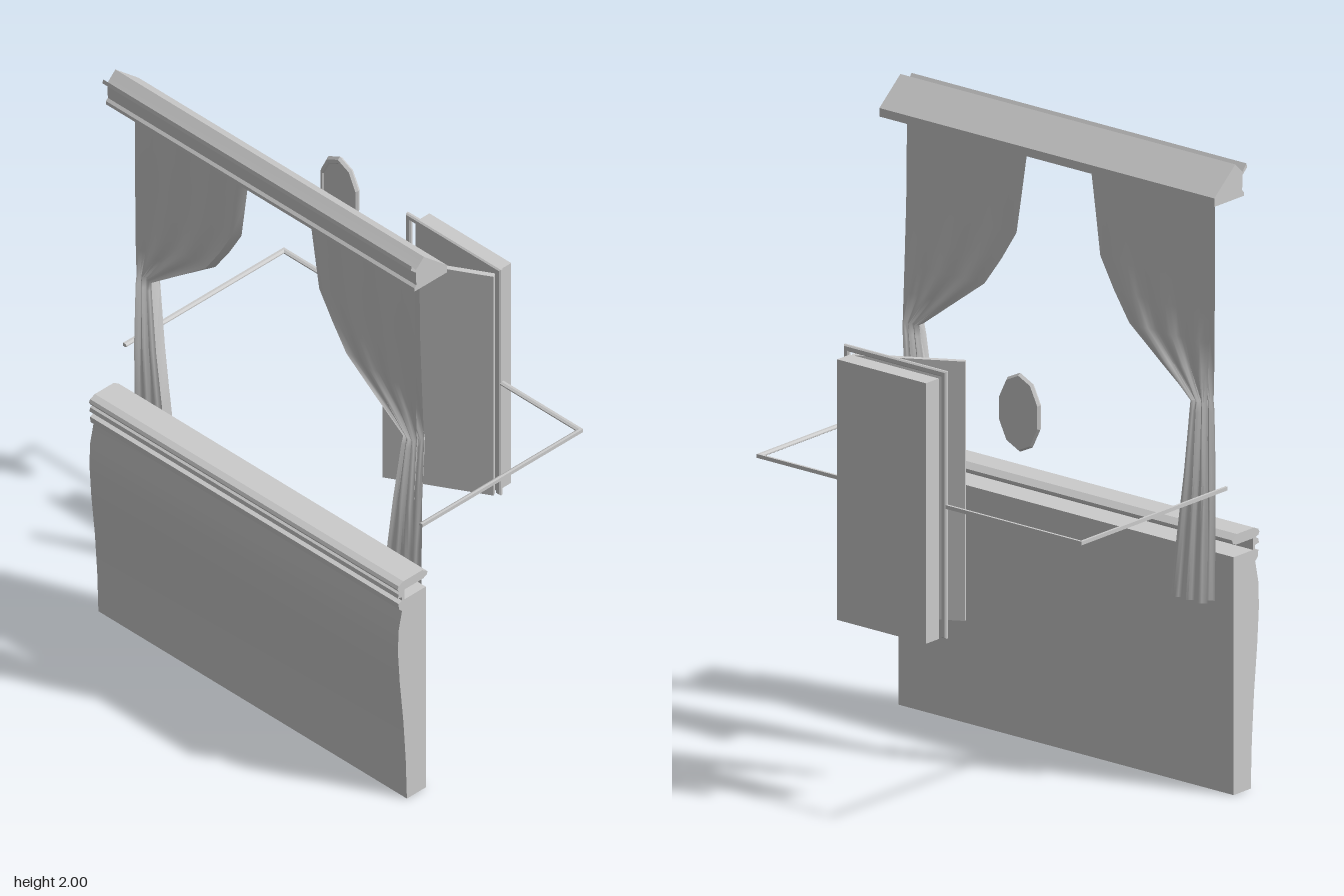
import * as THREE from 'three';
import { toCreasedNormals } from 'three/addons/utils/BufferGeometryUtils.js';

const plaster = new THREE.MeshStandardMaterial({ color: 0xcccccc, side: THREE.DoubleSide });
plaster.name = 'light grey';

function add(parent, name, geometry) {
  const mesh = new THREE.Mesh(geometry, plaster);
  mesh.name = name;
  parent.add(mesh);
  return mesh;
}

// Box given by its limits
function box(x0, x1, y0, y1, z0, z1) {
  return new THREE.BoxGeometry(x1 - x0, y1 - y0, z1 - z0)
    .translate((x0 + x1) / 2, (y0 + y1) / 2, (z0 + z1) / 2);
}

// Moulding: a [z, y] outline drawn out along x
function moulding(outline, halfWidth) {
  const shape = new THREE.Shape(outline.map(([z, y]) => new THREE.Vector2(z, y)));
  const g = new THREE.ExtrudeGeometry(shape, { depth: halfWidth * 2, bevelEnabled: false });
  g.translate(0, 0, -halfWidth).rotateY(-Math.PI / 2);
  return toCreasedNormals(g, 0.4);
}

// Curtain sections from top to bottom: y, outer x, inner x, back z, front z
const curtainRows = [
  [1.885, 0.6, 0.125, 0.27, 0.295],
  [1.75, 0.6, 0.145, 0.268, 0.295],
  [1.615, 0.6, 0.165, 0.265, 0.295],
  [1.52, 0.6, 0.222, 0.26, 0.293],
  [1.43, 0.6, 0.285, 0.255, 0.293],
  [1.34, 0.6, 0.405, 0.25, 0.291],
  [1.245, 0.6, 0.535, 0.245, 0.288],
  [1.21, 0.6, 0.53, 0.245, 0.292],
  [1.0, 0.598, 0.502, 0.25, 0.3],
  [0.82, 0.597, 0.477, 0.25, 0.3],
  [0.605, 0.595, 0.45, 0.25, 0.3],
];

// Gathered cloth: a flat closed loop with pleats at each section
function curtainGeometry() {
  const n = 40, rows = curtainRows.length;
  const g = new THREE.PlaneGeometry(1, 1, n, rows - 1);
  const p = g.attributes.position;
  for (let r = 0; r < rows; r++) {
    const [y, outer, inner, back, front] = curtainRows[r];
    for (let i = 0; i <= n; i++) {
      const t = i / n;
      const isFront = t < 0.5;
      const s = isFront ? t * 2 : 2 - t * 2;
      const depth = front - back;
      const pleat = (0.5 - 0.5 * Math.cos(s * Math.PI * 6)) * depth * 0.3;
      const z = isFront ? front - pleat : back + depth * 0.3 - pleat;
      p.setXYZ(r * (n + 1) + i, outer + (inner - outer) * s, y, z);
    }
  }
  return toCreasedNormals(g, 1.0);
}

// Rail strip with a chamfered room side, running along x from 0 to length
function railGeometry(length) {
  const shape = new THREE.Shape([[0, -0.006], [0.008, -0.006], [0.015, -0.002],
    [0.015, 0.002], [0.008, 0.006], [0, 0.006]].map(([a, b]) => new THREE.Vector2(a, b)));
  return new THREE.ExtrudeGeometry(shape, { depth: length, bevelEnabled: false })
    .translate(0, 0, -length).rotateY(-Math.PI / 2);
}

export function createModel() {
  const model = new THREE.Group();
  model.name = 'curtained stall';

  // Front counter
  add(model, 'counterPanel', moulding([[0.31, 0], [0.39, 0], [0.395, 0.15], [0.405, 0.3],
    [0.42, 0.45], [0.428, 0.57], [0.425, 0.65], [0.41, 0.72], [0.408, 0.755], [0.31, 0.755]], 0.66));
  add(model, 'counterLedge', moulding([[0.305, 0.8], [0.303, 0.81], [0.325, 0.825], [0.405, 0.825],
    [0.425, 0.816], [0.43, 0.806], [0.425, 0.797], [0.412, 0.793], [0.425, 0.785], [0.428, 0.772],
    [0.41, 0.768], [0.41, 0.755], [0.425, 0.75], [0.424, 0.73], [0.41, 0.716], [0.402, 0.716],
    [0.4, 0.792], [0.32, 0.792]], 0.66));

  // Cornice over the curtains
  add(model, 'cornice', moulding([[0.22, 1.89], [0.22, 1.917], [0.318, 2], [0.344, 1.975],
    [0.352, 1.968], [0.37, 1.99], [0.373, 1.977], [0.352, 1.958], [0.35, 1.91],
    [0.358, 1.902], [0.358, 1.89]], 0.66));

  // Pair of curtains
  for (const side of [1, -1]) {
    const curtain = add(model, side > 0 ? 'leftCurtain' : 'rightCurtain', curtainGeometry());
    curtain.scale.x = side;
  }

  // Rail around the room
  const rail = new THREE.Group();
  rail.name = 'wallRail';
  model.add(rail);
  const strips = [
    ['rightSideRail', 0.675, -0.64, 0.305, Math.PI / 2],
    ['backRailRight', 0.535, -0.64, -0.375, 0],
    ['backRailLeft', 0.34, 0.3, -0.375, 0],
    ['leftSideRail', 0.675, 0.64, -0.37, -Math.PI / 2],
  ];
  for (const [name, length, x, z, turn] of strips) {
    const strip = add(rail, name, railGeometry(length));
    strip.position.set(x, 0.97, z);
    strip.rotation.y = turn;
  }

  // Doorway with its open door
  const doorway = new THREE.Group();
  doorway.name = 'doorway';
  model.add(doorway);
  add(doorway, 'doorRecess', box(-0.078, 0.272, 0.545, 1.372, -0.435, -0.375));
  const frame = new THREE.Shape([[-0.105, 0.55], [-0.085, 0.55], [-0.085, 1.378], [0.28, 1.378],
    [0.28, 0.55], [0.3, 0.55], [0.3, 1.398], [-0.105, 1.398]].map(([x, y]) => new THREE.Vector2(x, y)));
  add(doorway, 'doorFrame', new THREE.ExtrudeGeometry(frame, {
    depth: 0.006, bevelThickness: 0.005, bevelSize: 0.004, bevelOffset: -0.004, bevelSegments: 1,
  }).translate(0, 0, -0.37));
  const door = add(doorway, 'door', box(-0.347, 0, 0.545, 1.368, -0.009, 0.009));
  door.position.set(0.276, 0, -0.36);
  door.rotation.y = Math.PI / 6;

  // Oval wall mirror with a bevelled rim
  const outline = [[0, -0.009], [0.94, -0.009], [1, 0], [0.94, 0.009], [0.84, 0.009],
    [0.8, 0.004], [0, 0.004]].map(([r, y]) => new THREE.Vector2(r, y));
  const oval = new THREE.LatheGeometry(outline, 10).rotateX(Math.PI / 2)
    .rotateZ(0).scale(0.084, 0.1255, 1);
  const mirror = add(model, 'wallMirror', toCreasedNormals(oval, 0.3));
  mirror.position.set(-0.39, 1.33, -0.365);

  return model;
}
